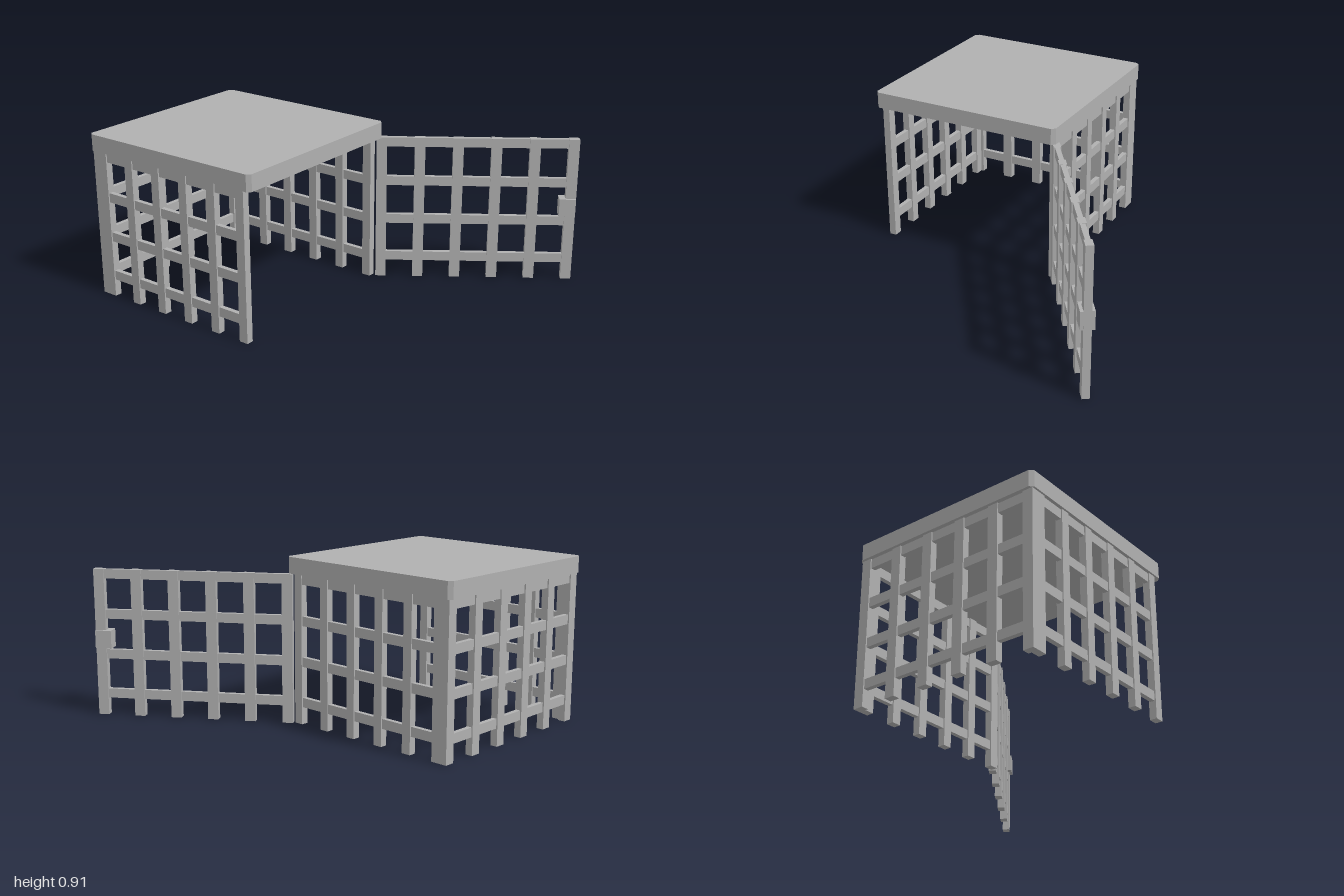
import * as THREE from 'three';

const grey = new THREE.MeshStandardMaterial({ color: 0xb0b0b0 });
grey.name = 'grey';

const HEIGHT = 0.82;
const BAR_HEIGHT = 0.053;
const BAR_Y = [0.122, 0.346, 0.57, HEIGHT - BAR_HEIGHT / 2];

function addBox(parent, name, size, position) {
  const mesh = new THREE.Mesh(new THREE.BoxGeometry(...size), grey);
  mesh.name = name;
  mesh.position.set(...position);
  parent.add(mesh);
  return mesh;
}

// Lattice panel along local x, centred, standing on y = 0
function createLattice(name, length, postWidth, thickness = 0.04) {
  const panel = new THREE.Group();
  panel.name = name;
  const count = 6;
  const step = (length - postWidth) / (count - 1);
  for (let i = 0; i < count; i++) {
    const x = -length / 2 + postWidth / 2 + i * step;
    addBox(panel, 'post', [postWidth, HEIGHT, thickness], [x, HEIGHT / 2, 0]);
  }
  // Thinner cross bars centred within the posts
  for (const y of BAR_Y) {
    addBox(panel, 'crossBar', [length - postWidth, BAR_HEIGHT - 0.001, 0.026], [0, y - 0.0005, 0]);
  }
  return panel;
}

// Flat slab with clipped corners
function createRoof() {
  const w = 0.555, c = 0.02;
  const shape = new THREE.Shape([
    [-w + c, -w], [w - c, -w], [w, -w + c], [w, w - c],
    [w - c, w], [-w + c, w], [-w, w - c], [-w, -w + c],
  ].map(([x, y]) => new THREE.Vector2(x, y)));
  const geometry = new THREE.ExtrudeGeometry(shape, { depth: 0.09, bevelEnabled: false });
  geometry.rotateX(-Math.PI / 2);
  const roof = new THREE.Mesh(geometry, grey);
  roof.name = 'roof';
  roof.position.set(-0.325, HEIGHT, -0.445);
  return roof;
}

export function createModel() {
  const model = new THREE.Group();
  model.name = 'latticeCage';
  model.add(createRoof());

  // Fixed walls
  const back = createLattice('backWall', 1.09, 0.057);
  back.position.set(-0.325, 0, -0.965);
  model.add(back);
  for (const side of [-1, 1]) {
    const wall = createLattice(side < 0 ? 'rightWall' : 'leftWall', 1.005, 0.052);
    wall.rotation.y = Math.PI / 2;
    wall.position.set(-0.325 + side * 0.525, 0, -0.4425);
    model.add(wall);
  }

  // Door swung open from the front corner, with its latch at the free end
  const hinge = new THREE.Vector2(0.238, 0.095);
  const end = new THREE.Vector2(0.831, 0.955);
  const span = hinge.distanceTo(end);
  const door = createLattice('door', span + 0.058, 0.058);
  door.position.set((hinge.x + end.x) / 2, 0, (hinge.y + end.y) / 2);
  door.rotation.y = -Math.atan2(end.y - hinge.y, end.x - hinge.x);
  addBox(door, 'latch', [0.09, 0.1, 0.072], [span / 2 - 0.018, 0.43, 0]);
  model.add(door);

  return model;
}
